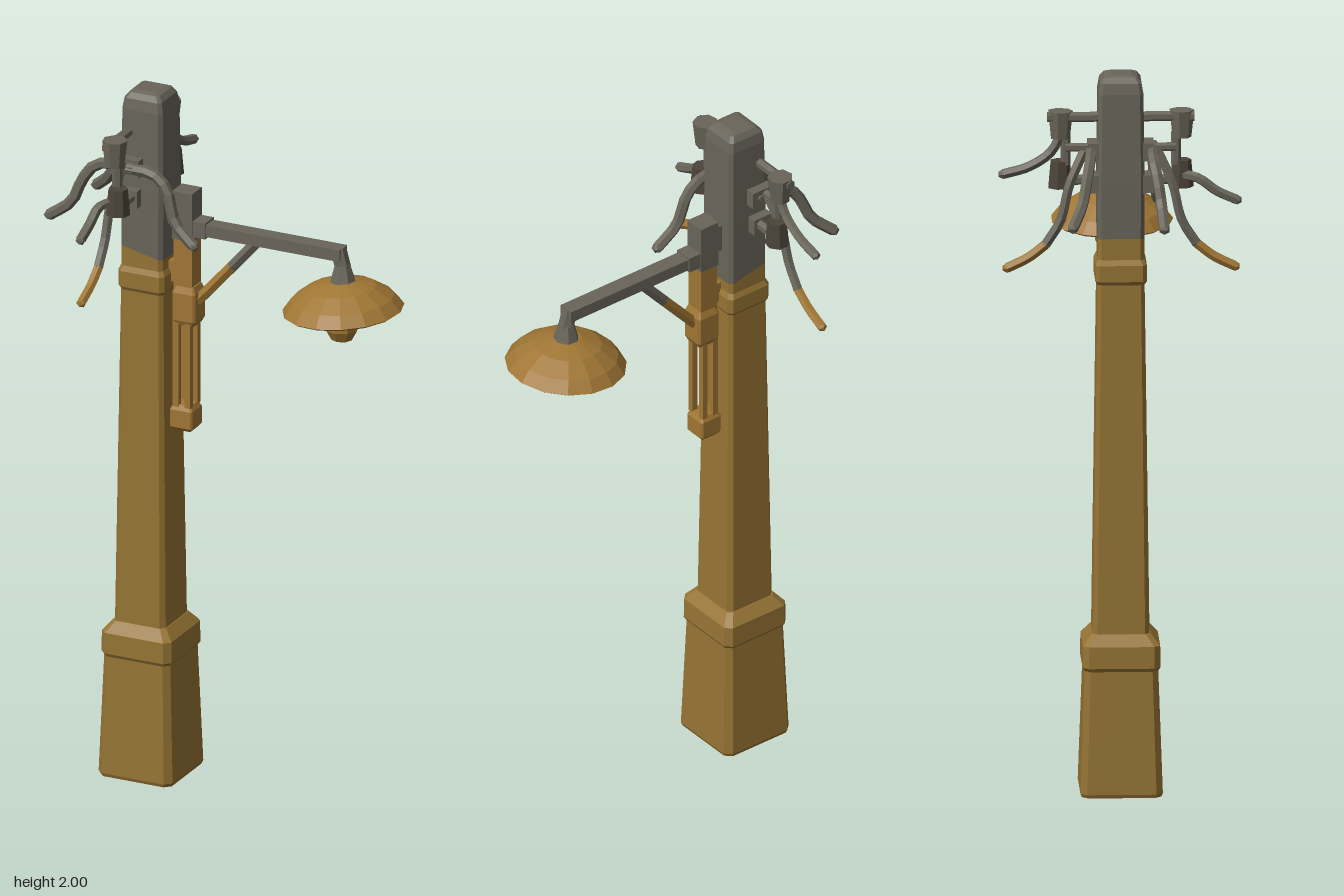
import * as THREE from 'three';

export function createModel() {
  const root = new THREE.Group();
  root.name = 'streetLampPole';
  const material = (name, color) => {
    const m = new THREE.MeshStandardMaterial({ color, flatShading: true });
    m.name = name;
    return m;
  };
  const olive = material('olive ochre', 0x967434);
  const ochre = material('warm ochre', 0xa07634);
  const grey = material('weathered grey', 0x69655a);
  const dark = material('dark insulator', 0x4c443a);

  const add = (name, geo, mat, x = 0, y = 0, z = 0) => {
    const mesh = new THREE.Mesh(geo, mat);
    mesh.name = name;
    mesh.position.set(x, y, z);
    root.add(mesh);
    return mesh;
  };
  const box = (name, mat, x, y, z, w, h, d) => add(name, new THREE.BoxGeometry(w, h, d), mat, x, y, z);

  // Square loft with chamfered corners; rings are [y, half width, slope in x]
  const loft = (rings) => {
    const pos = [], index = [];
    rings.forEach(([y, h, slope = 0]) => {
      const c = h * 0.84;
      [[h, c], [c, h], [-c, h], [-h, c], [-h, -c], [-c, -h], [c, -h], [h, -c]]
        .forEach(([x, z]) => pos.push(x, y + x * slope, z));
    });
    for (let r = 0; r < rings.length - 1; r++) {
      for (let i = 0; i < 8; i++) {
        const a = r * 8 + i, b = r * 8 + (i + 1) % 8;
        index.push(a, a + 8, b, b, a + 8, b + 8);
      }
    }
    const t = (rings.length - 1) * 8;
    for (let i = 1; i < 7; i++) index.push(0, i, i + 1, t, t + i + 1, t + i);
    const geo = new THREE.BufferGeometry();
    geo.setAttribute('position', new THREE.Float32BufferAttribute(pos, 3));
    geo.setIndex(index);
    geo.computeVertexNormals();
    return geo;
  };

  // Straight bar between two points
  const bar = (name, mat, from, to, r0, r1 = r0, sides = 6) => {
    const a = new THREE.Vector3(...from), b = new THREE.Vector3(...to);
    const mesh = add(name, new THREE.CylinderGeometry(r1, r0, a.distanceTo(b), sides), mat);
    mesh.position.copy(a).add(b).multiplyScalar(0.5);
    mesh.quaternion.setFromUnitVectors(new THREE.Vector3(0, 1, 0), b.sub(a).normalize());
    return mesh;
  };

  // Drooping wire with closed ends
  const wire = (name, mat, points, r = 0.014) => {
    const pts = points.map((p) => new THREE.Vector3(...p));
    add(name, new THREE.TubeGeometry(new THREE.CatmullRomCurve3(pts), 10, r, 6), mat);
    [pts[0], pts[pts.length - 1]].forEach((p) =>
      add(name + 'End', new THREE.IcosahedronGeometry(r, 0), mat, p.x, p.y, p.z));
  };

  // Lathe from [radius, height] pairs
  const lathe = (points, sides) => new THREE.LatheGeometry(points.map(([r, y]) => new THREE.Vector2(r, y)), sides);

  // Post: plinth, collars and weathered top
  const px = -0.242;
  add('plinth', loft([[0, 0.108], [0.01, 0.112], [0.35, 0.1], [0.36, 0.106], [0.42, 0.105], [0.45, 0.08]]), olive, px);
  add('shaft', loft([[0.44, 0.077], [1.42, 0.064], [1.43, 0.07], [1.475, 0.07], [1.49, 0.063], [1.535, 0.063, -0.22]]), olive, px);
  add('postTop', loft([[1.535, 0.063, -0.22], [1.72, 0.064], [1.95, 0.061], [1.98, 0.056], [1.995, 0.045], [2, 0.03]]), grey, px);

  // Bracket on the post side with its slotted lower guide
  box('bracketTop', grey, -0.133, 1.65, 0, 0.06, 0.14, 0.06);
  box('bracketMount', grey, -0.17, 1.66, 0, 0.05, 0.08, 0.05);
  box('bracketBody', ochre, -0.132, 1.51, 0, 0.055, 0.15, 0.055);
  add('bracketFoot', loft([[0, 0.028], [0.015, 0.035], [0.095, 0.035], [0.115, 0.027]]), ochre, -0.128, 1.33);
  box('bracketSpacer', ochre, -0.17, 1.48, 0, 0.05, 0.06, 0.04);
  for (const x of [-0.152, -0.116])
    for (const z of [-0.023, 0.023]) box('guideRod', ochre, x, 1.22, z, 0.017, 0.26, 0.017);
  add('guideEnd', loft([[0, 0.026], [0.01, 0.034], [0.06, 0.034], [0.075, 0.026]]), ochre, -0.136, 1.02);

  // Lamp arm and diagonal brace
  box('arm', grey, 0.12, 1.617, 0, 0.44, 0.034, 0.046);
  box('armSocket', grey, -0.09, 1.617, 0, 0.05, 0.046, 0.054);
  bar('braceLower', ochre, [-0.1, 1.4, 0], [0.005, 1.519, 0], 0.017);
  bar('braceUpper', grey, [0.005, 1.519, 0], [0.085, 1.61, 0], 0.017);

  // Lamp head: neck, tilted shade and bulb
  bar('armElbow', grey, [0.325, 1.63, 0], [0.34, 1.575, 0], 0.022);
  bar('neck', grey, [0.34, 1.522, 0], [0.338, 1.585, 0], 0.04, 0.022, 7);
  const shadeProfile = [[0, 0.065], [0.08, 0.052], [0.13, 0.02], [0.158, -0.006], [0.167, 0], [0.142, 0.032], [0.095, 0.064], [0.04, 0.082], [0, 0.084]];
  add('shade', lathe(shadeProfile, 15), ochre, 0.34, 1.455, 0).rotation.z = 0.08;
  const bulbProfile = [[0, 0], [0.03, 0.005], [0.046, 0.035], [0.047, 0.07], [0.032, 0.105], [0.028, 0.16]];
  add('bulb', lathe(bulbProfile, 8), ochre, 0.336, 1.362, 0);

  // Cross arms and insulators, mirrored front and back
  for (const s of [-1, 1]) {
    bar('upperCrossArm', grey, [-0.28, 1.885, 0], [-0.28, 1.885, s * 0.2], 0.014);
    bar('middleCrossArm', grey, [-0.28, 1.8, 0], [-0.28, 1.8, s * 0.15], 0.012);
    bar('lowerCrossArm', grey, [-0.26, 1.705, 0], [-0.26, 1.705, s * 0.19], 0.014);
    bar('upperInsulator', grey, [-0.27, 1.825, s * 0.165], [-0.27, 1.9, s * 0.165], 0.027, 0.035, 7);
    bar('lowerInsulator', dark, [-0.26, 1.685, s * 0.165], [-0.26, 1.76, s * 0.165], 0.034, 0.027, 7);
    bar('insulatorPin', grey, [-0.27, 1.75, s * 0.15], [-0.27, 1.84, s * 0.15], 0.014);
    box('crossArmClamp', grey, -0.27, 1.79, s * 0.075, 0.07, 0.05, 0.03);
    box('crossArmClamp', grey, -0.27, 1.7, s * 0.075, 0.06, 0.05, 0.03);
    // Long low wire with an ochre tip
    wire('lowWire', grey, [[-0.28, 1.79, s * 0.1], [-0.295, 1.7, s * 0.14], [-0.3, 1.6, s * 0.165], [-0.3, 1.535, s * 0.205]]);
    wire('lowWireTip', ochre, [[-0.3, 1.535, s * 0.205], [-0.3, 1.5, s * 0.25], [-0.3, 1.47, s * 0.31]]);
  }

  // Remaining loose wires
  wire('frontWire', grey, [[-0.27, 1.72, 0.16], [-0.295, 1.715, 0.21], [-0.3, 1.68, 0.26], [-0.3, 1.655, 0.315]]);
  wire('backWire', grey, [[-0.27, 1.84, -0.16], [-0.27, 1.785, -0.19], [-0.27, 1.745, -0.25], [-0.27, 1.725, -0.32]]);
  wire('rightFrontWire', grey, [[-0.25, 1.79, 0.09], [-0.36, 1.785, 0.085], [-0.4, 1.74, 0.095], [-0.43, 1.67, 0.105], [-0.495, 1.62, 0.11]], 0.016);
  wire('leftFrontWire', grey, [[-0.28, 1.79, 0.09], [-0.19, 1.785, 0.09], [-0.15, 1.75, 0.092], [-0.12, 1.66, 0.1], [-0.06, 1.605, 0.108]], 0.016);
  wire('rightBackWire', grey, [[-0.26, 1.79, -0.08], [-0.35, 1.785, -0.085], [-0.39, 1.74, -0.095], [-0.42, 1.67, -0.11], [-0.475, 1.62, -0.138]], 0.016);

  return root;
}
